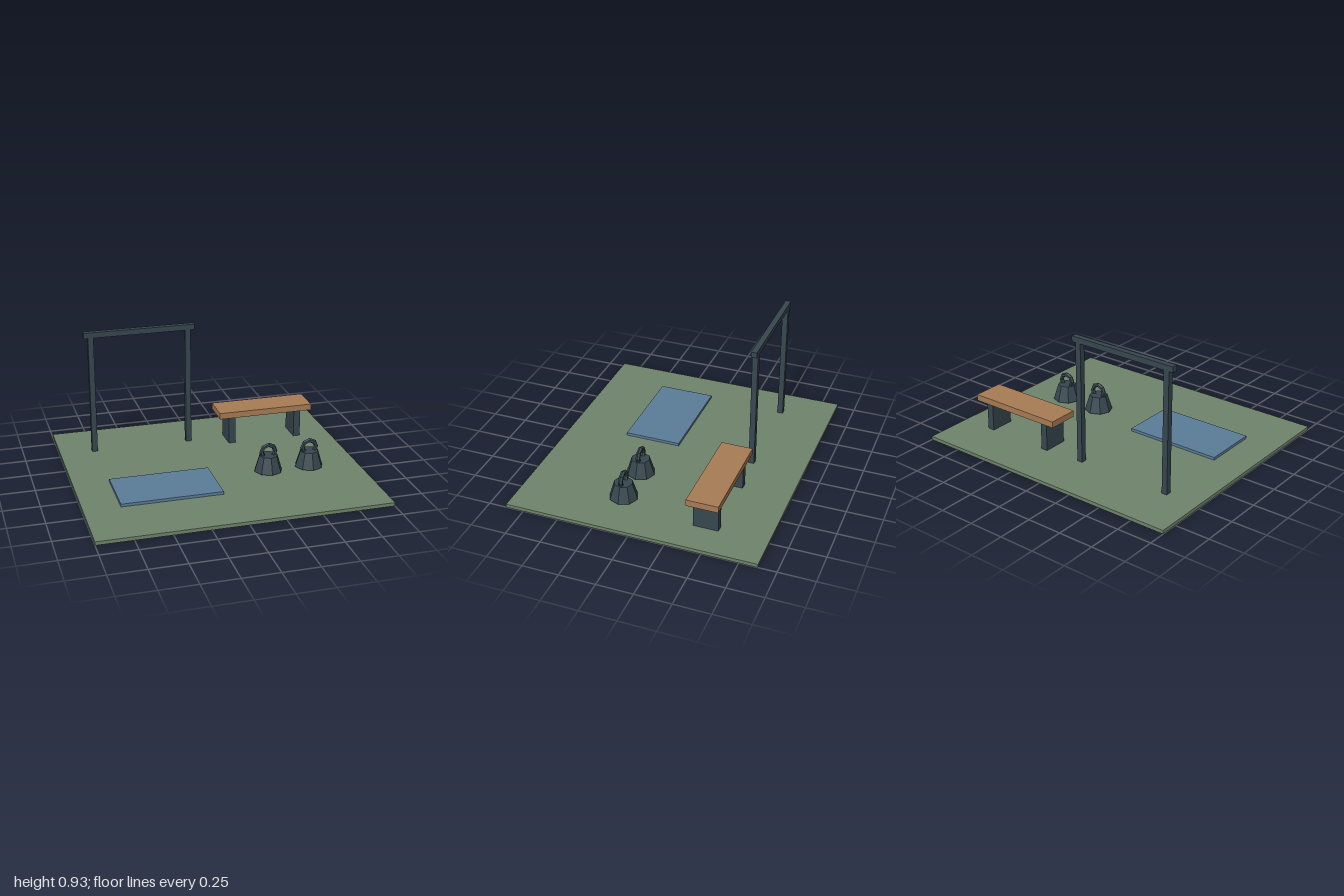
import * as THREE from 'three';

const mat = (color) => new THREE.MeshStandardMaterial({ color, flatShading: true });

export function createModel() {
  const root = new THREE.Group();
  root.name = 'outdoorGym';
  const grass = mat(0x6f846c), steel = mat(0x37474f), wood = mat(0xa87c54), blue = mat(0x5b7c99);

  const add = (parent, name, geometry, material, x, y, z) => {
    const mesh = new THREE.Mesh(geometry, material);
    mesh.name = name;
    mesh.position.set(x, y, z);
    parent.add(mesh);
    return mesh;
  };
  // Box standing on height y
  const box = (parent, name, material, w, h, d, x, y, z) =>
    add(parent, name, new THREE.BoxGeometry(w, h, d), material, x, y + h / 2, z);
  const group = (name, x, z) => {
    const g = new THREE.Group();
    g.name = name;
    g.position.set(x, 0, z);
    root.add(g);
    return g;
  };

  // Ground slab and exercise mat
  box(root, 'groundSlab', grass, 2, 0.025, 1.75, 0, 0, 0);
  box(root, 'exerciseMat', blue, 0.7, 0.02, 0.4, -0.4, 0.025, 0.25);

  // Pull-up frame
  const frame = group('pullUpFrame', -0.4, -0.5);
  box(frame, 'crossbar', steel, 0.8, 0.04, 0.04, 0, 0.885, 0);

  // Bench
  const bench = group('bench', 0.5, -0.45);
  box(bench, 'benchSeat', wood, 0.7, 0.045, 0.22, 0, 0.23, 0);

  for (const side of [-1, 1]) {
    const label = side > 0 ? 'left' : 'right';
    box(frame, label + 'Post', steel, 0.04, 0.86, 0.04, side * 0.35, 0.025, 0);
    box(bench, label + 'BenchLeg', steel, 0.05, 0.205, 0.175, side * 0.25, 0.025, 0);

    // Kettlebell: tapered eight-sided weight with a ring handle
    const bell = group(label + 'Kettlebell', 0.5 + side * 0.15, 0.175);
    add(bell, 'weight', new THREE.CylinderGeometry(0.065, 0.1, 0.115, 8), steel, 0, 0.09, 0);
    add(bell, 'handle', new THREE.TorusGeometry(0.05, 0.016, 6, 8), steel, 0, 0.172, 0);
  }
  return root;
}
